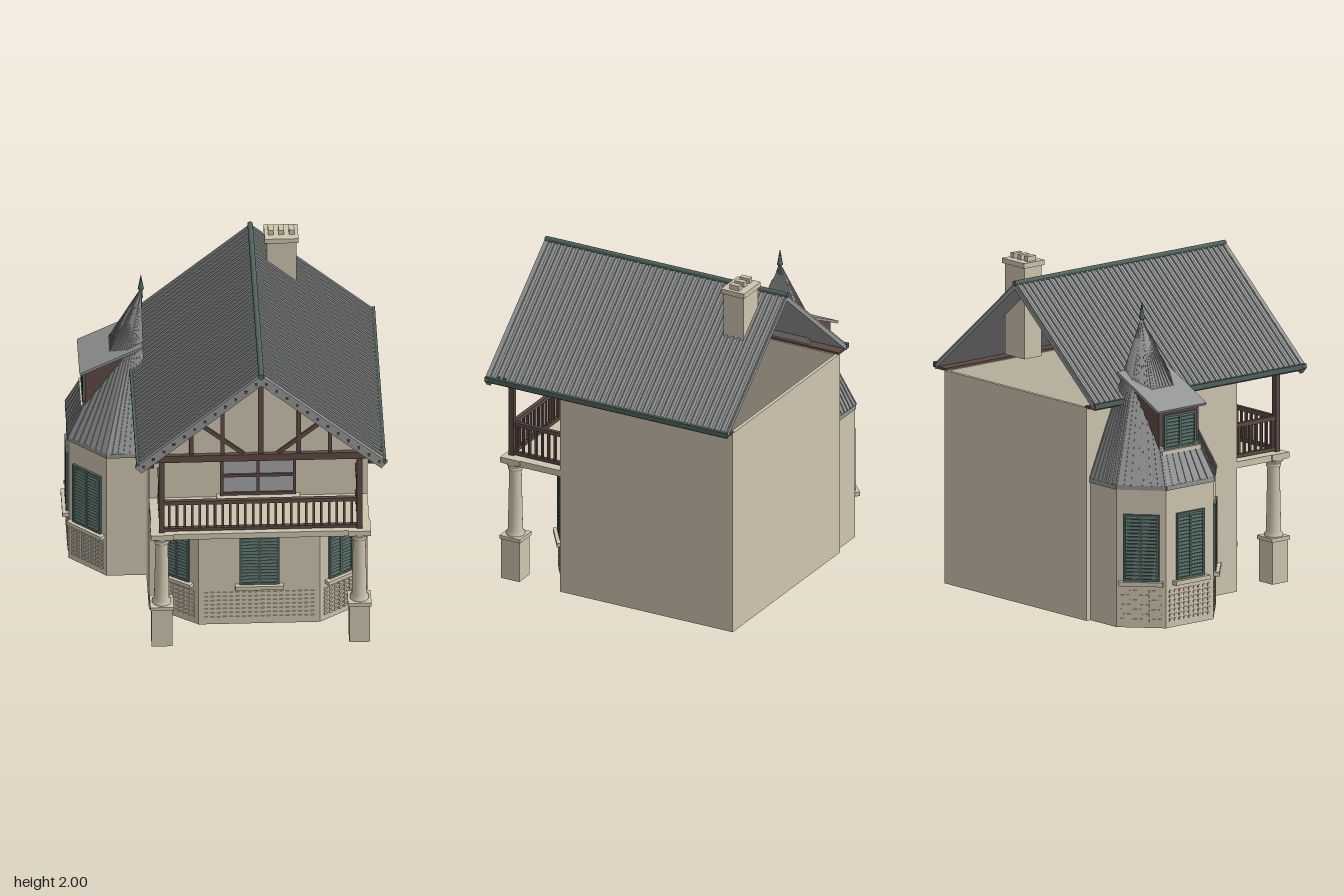
import * as THREE from 'three';
import { mergeGeometries } from 'three/addons/utils/BufferGeometryUtils.js';

const paint = (name, color) => Object.assign(new THREE.MeshStandardMaterial({ color }), { name });
const plaster = paint('plaster', 0xcfc5b0);
const slate = paint('roof grey', 0x949595);
const timber = paint('brown timber', 0x5f4a44);
const green = paint('shutter green', 0x4f645e);
const glass = paint('glass grey', 0xa3a5a7);

const V = (x, y, z) => new THREE.Vector3(x, y, z);

// Box given by its limits
function block(x0, x1, y0, y1, z0, z1) {
  return new THREE.BoxGeometry(x1 - x0, y1 - y0, z1 - z0)
    .translate((x0 + x1) / 2, (y0 + y1) / 2, (z0 + z1) / 2);
}

// Box running from a to b: w is across, h is thickness (height when level)
function bar(a, b, w, h) {
  const o = new THREE.Object3D();
  o.position.copy(a).lerp(b, 0.5);
  o.lookAt(b);
  o.updateMatrix();
  return new THREE.BoxGeometry(w, h, a.distanceTo(b)).applyMatrix4(o.matrix);
}

function add(parent, name, material, ...geos) {
  const mesh = new THREE.Mesh(geos.length > 1 ? mergeGeometries(geos) : geos[0], material);
  mesh.name = name;
  parent.add(mesh);
  return mesh;
}

// Upright wall between plan points [x, z], thickness kept inside the outline
const wall = ([ax, az], [bx, bz], y0, y1, t = 0.022) => {
  const len = Math.hypot(bx - ax, bz - az), nx = -(bz - az) / len, nz = (bx - ax) / len;
  const y = (y0 + y1) / 2, s = -t / 2;
  return bar(V(ax + nx * s, y, az + nz * s), V(bx + nx * s, y, bz + nz * s), t, y1 - y0);
};

// Group on a wall a -> b, with local +z pointing outwards
function onWall(parent, name, [ax, az], [bx, bz]) {
  const g = new THREE.Group();
  g.name = name;
  g.position.set((ax + bx) / 2, 0, (az + bz) / 2);
  g.rotation.y = Math.atan2(-(bz - az), bx - ax);
  parent.add(g);
  return g;
}

// Louvred shutters with a sill, and a pane on the inner side
function shutters(g, w, y0, y1, sill = true) {
  const parts = [block(-w / 2, w / 2, y0, y1, -0.005, 0.004)];
  for (const x of [-w / 2, -0.008, w / 2 - 0.014])
    parts.push(block(x, x + 0.014, y0, y1, 0, 0.014));
  for (const y of [y0, y1 - 0.014]) parts.push(block(-w / 2, w / 2, y, y + 0.014, 0, 0.014));
  const n = Math.round((y1 - y0) / 0.021);
  for (let i = 1; i < n; i++) {
    const slat = new THREE.BoxGeometry(w - 0.02, 0.014, 0.004);
    parts.push(slat.rotateX(-0.6).translate(0, y0 + (y1 - y0) * i / n, 0.007));
  }
  add(g, 'louvredShutters', green, ...parts);
  add(g, 'innerPane', glass, block(-w / 2, w / 2, y0, y1, -0.026, -0.02));
  if (sill) add(g, 'sill', plaster, block(-w / 2 - 0.025, w / 2 + 0.025, y0 - 0.025, y0, -0.01, 0.035));
}

// Rows of small raised bricks on the plinth
function plinth(g, len) {
  const bricks = [], n = Math.floor((len - 0.02) / 0.036);
  for (let i = 0; i < n; i++) for (let j = 0; j < 7; j++) {
    const x = (i - (n - 1) / 2) * 0.036, y = 0.045 + j * 0.028;
    bricks.push(block(x - 0.011, x + 0.011, y - 0.008, y + 0.008, -0.002, 0.006));
  }
  add(g, 'plinthBricks', plaster, ...bricks);
}

export function createModel() {
  const house = new THREE.Group();
  house.name = 'house';
  const mid = 0.19;

  // Main walls, open above and below
  add(house, 'mainWalls', plaster,
    block(-0.44, 0.82, 0, 1.26, -0.79, -0.768),
    block(-0.44, -0.418, 0, 1.26, -0.79, 0.35),
    block(0.798, 0.82, 0, 1.26, -0.79, 0.35),
    block(-0.44, 0.82, 0.73, 1.26, 0.328, 0.35),
    block(-0.44, -0.39, 0, 0.75, 0.328, 0.35),
    block(0.77, 0.82, 0, 0.75, 0.328, 0.35));

  // Ground floor bay
  const bay = [[-0.4, 0.35], [-0.16, 0.52], [0.54, 0.52], [0.78, 0.35]];
  for (let i = 0; i < 3; i++) {
    const a = bay[i], b = bay[i + 1];
    add(house, 'bayWall', plaster, wall(a, b, 0, 0.75));
    const g = onWall(house, 'bayWindow', a, b);
    shutters(g, i === 1 ? 0.23 : 0.17, 0.275, 0.66);
    plinth(g, Math.hypot(b[0] - a[0], b[1] - a[1]));
  }

  // Balcony floor, columns, posts and railing
  add(house, 'balconyFloor', plaster, block(-0.44, 0.82, 0.73, 0.768, 0.34, 0.735));
  add(house, 'balconyStep', plaster, block(-0.05, 0.43, 0.768, 0.785, 0.35, 0.42));
  const column = [[0.055, 0.27], [0.055, 0.285], [0.044, 0.3], [0.042, 0.4], [0.036, 0.68],
    [0.043, 0.685], [0.043, 0.695], [0.038, 0.7], [0.06, 0.725], [0.06, 0.745]].map(p => new THREE.Vector2(...p));
  for (const x of [-0.38, 0.76]) {
    add(house, 'columnBase', plaster, block(x - 0.06, x + 0.06, 0, 0.25, 0.62, 0.74),
      block(x - 0.068, x + 0.068, 0.25, 0.273, 0.612, 0.748));
    add(house, 'column', plaster, new THREE.LatheGeometry(column, 20)).position.set(x, 0, 0.68);
    add(house, 'columnCapital', plaster, block(x - 0.065, x + 0.065, 0.735, 0.768, 0.615, 0.745));
    add(house, 'balconyPost', timber, block(x - 0.016, x + 0.016, 0.768, 1.26, 0.684, 0.716));
    const side = [block(x - 0.012, x + 0.012, 0.955, 0.98, 0.35, 0.7),
      block(x - 0.012, x + 0.012, 0.775, 0.795, 0.35, 0.7)];
    for (let i = 0; i < 8; i++) {
      const z = 0.375 + i * 0.042;
      side.push(block(x - 0.007, x + 0.007, 0.79, 0.96, z - 0.007, z + 0.007));
    }
    add(house, 'sideRailing', timber, ...side);
  }
  const rail = [block(-0.39, 0.77, 0.955, 0.98, 0.688, 0.712), block(-0.39, 0.77, 0.775, 0.795, 0.688, 0.712)];
  for (let i = 1; i < 26; i++) {
    const x = -0.38 + 1.14 * i / 26;
    rail.push(block(x - 0.007, x + 0.007, 0.79, 0.96, 0.693, 0.707));
  }
  add(house, 'frontRailing', timber, ...rail);

  // Balcony window
  add(house, 'balconyGlass', glass, block(-0.02, 0.4, 0.785, 1.155, 0.324, 0.355));
  const frame = [-0.03, 0.18, 0.39].map(x => block(x, x + 0.018, 0.785, 1.165, 0.35, 0.368));
  for (const y of [0.785, 0.91, 1.03, 1.147]) frame.push(block(-0.03, 0.408, y, y + 0.018, 0.35, 0.366));
  add(house, 'balconyWindowFrame', timber, ...frame);

  // Front gable and its timbers
  const tri = new THREE.Shape([[-0.47, 1.27], [0.85, 1.27], [0.85, 1.3], [mid, 1.86], [-0.47, 1.3]]
    .map(p => new THREE.Vector2(...p)));
  add(house, 'gableWall', plaster,
    new THREE.ExtrudeGeometry(tri, { depth: 0.022, bevelEnabled: false }).translate(0, 0, 0.678));
  const studs = [block(-0.49, 0.89, 1.257, 1.302, 0.67, 0.725), block(mid - 0.015, mid + 0.015, 1.3, 1.85, 0.69, 0.715)];
  for (const s of [-1, 1]) {
    for (const [d, top] of [[0.22, 1.67], [0.4, 1.505]])
      studs.push(block(mid + s * d - 0.012, mid + s * d + 0.012, 1.3, top, 0.69, 0.715));
    studs.push(bar(V(mid + s * 0.36, 1.515, 0.7), V(mid + s * 0.1, 1.3, 0.7), 0.025, 0.024));
  }
  add(house, 'gableTimbers', timber, ...studs);

  // Main roof: slabs, ribs, bargeboards, gutters and soffits
  for (const s of [-1, 1]) {
    const at = (t, z, drop = 0) => V(mid + s * 0.71 * t, 1.885 - 0.602 * t - drop, z);
    add(house, 'roofSlope', slate, bar(at(0, 0, 0.018), at(1, 0, 0.018), 1.59, 0.024));
    const ribs = [];
    for (let i = 0; i < 40; i++) {
      const z = -0.78 + i * 0.04;
      ribs.push(bar(at(0.01, z), at(1, z), 0.016, 0.016));
    }
    add(house, 'roofRibs', slate, ...ribs);
    add(house, 'bargeboard', slate, bar(at(0, 0.787, 0.025), at(1, 0.787, 0.025), 0.026, 0.055));
    const studsOnBoard = [];
    for (let i = 0; i < 12; i++) {
      const p = at((i + 0.5) / 12, 0, 0.025);
      studsOnBoard.push(block(p.x - 0.008, p.x + 0.008, p.y - 0.008, p.y + 0.008, 0.795, 0.805));
    }
    add(house, 'bargeboardStuds', timber, ...studsOnBoard);
    add(house, 'gutter', green, bar(V(mid + s * 0.71, 1.282, -0.8), V(mid + s * 0.71, 1.282, 0.8), 0.02, 0.03));
    add(house, 'soffit', timber, bar(V(mid + s * 0.66, 1.265, -0.79), V(mid + s * 0.66, 1.265, 0.78), 0.085, 0.014));
  }
  add(house, 'ridgeCap', green, new THREE.CylinderGeometry(0.016, 0.016, 1.6, 10).rotateX(Math.PI / 2).translate(mid, 1.887, 0));

  // Chimney
  add(house, 'chimney', plaster, block(0.275, 0.445, 1.4, 1.95, -0.65, -0.52),
    block(0.262, 0.458, 1.94, 1.97, -0.662, -0.508));
  add(house, 'chimneyPots', plaster, ...[0.3, 0.36, 0.42].map(x => block(x - 0.016, x + 0.016, 1.96, 2, -0.617, -0.553)));

  // Side turret
  const ring = [[-0.44, -0.76], [-0.67, -0.76], [-0.88, -0.565], [-0.88, -0.205], [-0.67, -0.01], [-0.44, -0.01]];
  for (let i = 0; i < 5; i++) {
    const a = ring[i], b = ring[i + 1], len = Math.hypot(b[0] - a[0], b[1] - a[1]);
    add(house, 'turretWall', plaster, wall(a, b, 0, 0.82));
    const g = onWall(house, 'turretSide', a, b);
    if (i > 0 && i < 4) {
      shutters(g, 0.21, 0.275, 0.67);
      plinth(g, len);
    }
    add(g, 'turretFascia', slate, block(-len / 2, len / 2, 0.815, 0.842, -0.01, 0.008));
  }

  // Turret roof: half pyramid with ribs
  const apex = V(-0.455, 1.73, -0.385);
  const eave = ring.map(([x, z]) => V(x < -0.5 ? x - 0.006 : x, 0.84, z < -0.385 ? z - 0.006 : z + 0.006));
  const faces = eave.flatMap((a, i) => [a, eave[(i + 1) % 6], apex]);
  const cone = new THREE.BufferGeometry().setFromPoints(faces);
  cone.computeVertexNormals();
  add(house, 'turretRoof', slate, cone);
  const coneRibs = [];
  for (let i = 0; i < 5; i++) for (let k = 0; k < 7; k++) {
    const foot = eave[i].clone().lerp(eave[i + 1], k / 7);
    coneRibs.push(bar(foot, foot.clone().lerp(apex, k ? 0.88 : 0.99), 0.009, 0.009));
  }
  add(house, 'turretRoofRibs', slate, ...coneRibs);
  add(house, 'finial', green, new THREE.ConeGeometry(0.018, 0.1, 8).translate(-0.457, 1.78, -0.385),
    new THREE.CylinderGeometry(0.007, 0.012, 0.07, 8).translate(-0.457, 1.705, -0.385));

  // Turret dormer
  const cheek = new THREE.Shape([[-0.785, 1], [-0.5, 1], [-0.5, 1.405], [-0.785, 1.267]].map(p => new THREE.Vector2(...p)));
  add(house, 'dormerBody', timber,
    new THREE.ExtrudeGeometry(cheek, { depth: 0.3, bevelEnabled: false }).translate(0, 0, -0.535));
  add(house, 'dormerRoof', slate, bar(V(-0.815, 1.262, -0.387), V(-0.452, 1.438, -0.387), 0.365, 0.016));
  shutters(onWall(house, 'dormerWindow', [-0.785, -0.535], [-0.785, -0.235]), 0.24, 1.03, 1.235, false);
  add(house, 'dormerSill', plaster, block(-0.81, -0.78, 1.005, 1.028, -0.53, -0.24));

  return house;
}
